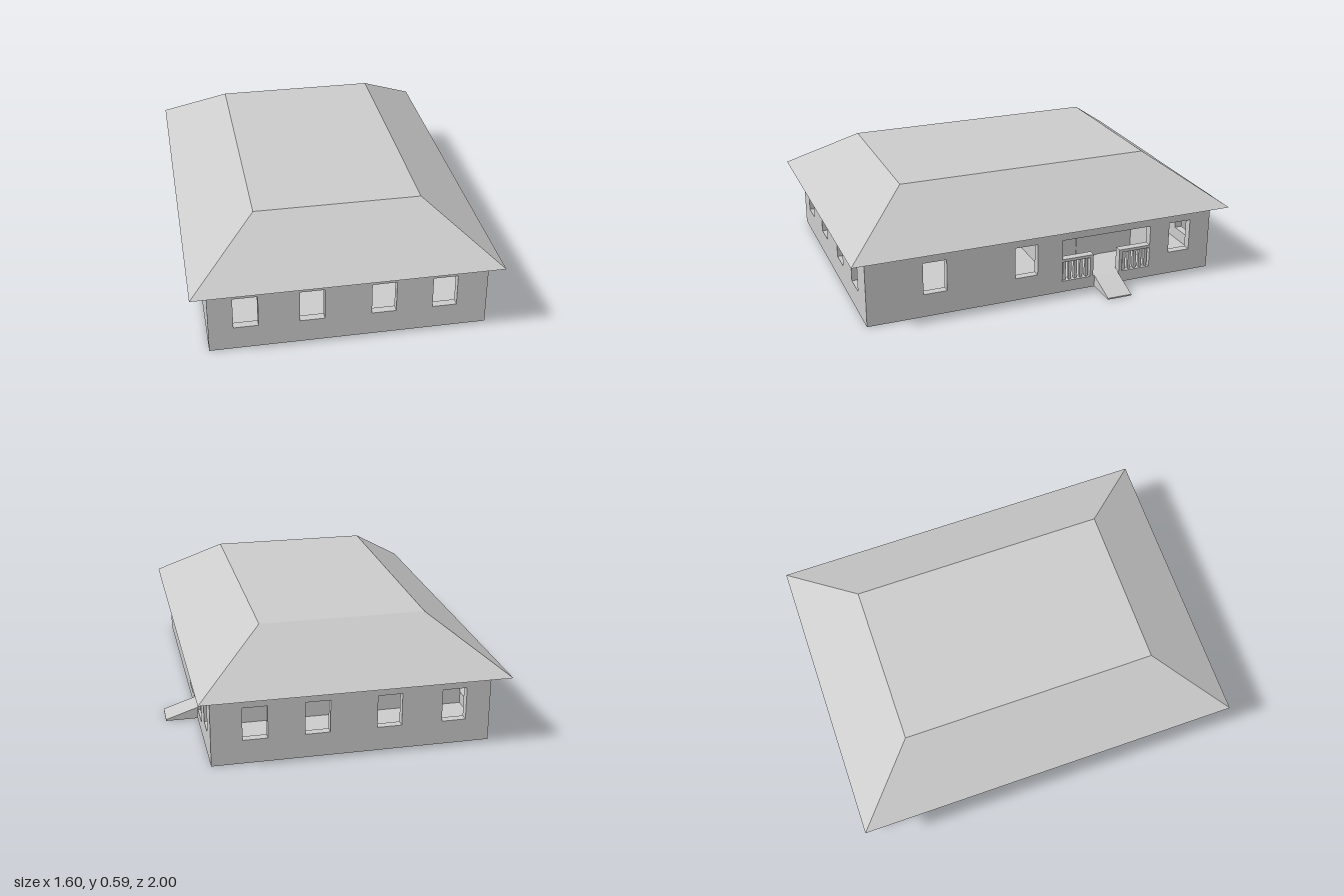
import * as THREE from 'three';

const material = new THREE.MeshStandardMaterial({ color: 0xcccccc, flatShading: true });
const X0 = -0.72, X1 = 0.64, Z = 0.925, EAVE = 0.35, FLOOR = 0.06, T = 0.04;

function addMesh(group, name, geometry) {
  const mesh = new THREE.Mesh(geometry, material);
  mesh.name = name;
  group.add(mesh);
  return mesh;
}

// box given by its limits on each axis
function addBox(group, name, x0, x1, y0, y1, z0, z1) {
  const mesh = addMesh(group, name, new THREE.BoxGeometry(x1 - x0, y1 - y0, z1 - z0));
  mesh.position.set((x0 + x1) / 2, (y0 + y1) / 2, (z0 + z1) / 2);
  return mesh;
}

const rect = (u0, u1, v0, v1) => [[u0, v0], [u1, v0], [u1, v1], [u0, v1]];
const windowAt = (u) => rect(u, u + 0.12, 0.12, 0.285);
const toPoints = (list) => list.map(([u, v]) => new THREE.Vector2(u, v));

// upright wall panel with openings, extruded to the wall thickness
function wallGeometry(u0, u1, openings) {
  const shape = new THREE.Shape(toPoints(rect(u0, u1, 0, EAVE)));
  openings.forEach((o) => shape.holes.push(new THREE.Path(toPoints(o))));
  return new THREE.ExtrudeGeometry(shape, { depth: T, bevelEnabled: false });
}

export function createModel() {
  const house = new THREE.Group();
  house.name = 'house';

  // front and back walls with four windows each
  const endWindows = [-0.6, -0.28, 0.07, 0.37].map(windowAt);
  const endWall = wallGeometry(X0 + T, X1 - T, endWindows);
  addMesh(house, 'frontWall', endWall).position.z = Z - T;
  addMesh(house, 'backWall', endWall).position.z = -Z;

  // side walls: drawn along -z, then turned
  const porchOpening = [
    [0.262, FLOOR], [0.408, FLOOR], [0.408, 0.18], [0.58, 0.18],
    [0.58, 0.285], [0.09, 0.285], [0.09, 0.18], [0.262, 0.18],
  ];
  const railPanels = [[0.09, 0.245], [0.425, 0.58]];
  const leftWall = addMesh(house, 'porchSideWall', wallGeometry(-Z, Z, [
    ...[-0.64, -0.165, 0.69].map(windowAt),
    porchOpening,
    ...railPanels.map(([a, b]) => rect(a, b, FLOOR, 0.165)),
  ]));
  leftWall.rotation.y = Math.PI / 2;
  leftWall.position.x = X1 - T;

  const rightWall = addMesh(house, 'plainSideWall',
    wallGeometry(-Z, Z, [-0.64, -0.16, 0.275, 0.57].map(windowAt)));
  rightWall.rotation.y = Math.PI / 2;
  rightWall.position.x = X0;

  // floor slab and inner partitions
  addBox(house, 'floor', X0 + T, X1 - T, 0, FLOOR, -Z + T, Z - T);
  const partition = (x0, x1, z0, z1) => addBox(house, 'partition', x0, x1, FLOOR, EAVE, z0, z1);
  partition(X0 + T, X1 - T, 0.32, 0.35);
  partition(X0 + T, X1 - T, -0.08, -0.05);
  partition(X0 + T, X1 - T, -0.62, -0.59);
  partition(-0.1, -0.07, -Z + T, -0.62);

  // porch recess: back wall with a door
  partition(0.38, 0.41, -0.59, -0.08);
  addBox(house, 'door', 0.4, 0.415, FLOOR, 0.285, -0.39, -0.27);

  // balustrade bars
  for (const [a, b] of railPanels) {
    for (let i = 0; i < 5; i++) {
      const z = -(a + ((b - a) * (i + 0.5)) / 5);
      addBox(house, 'balusterBar', 0.612, 0.628, FLOOR, 0.165, z - 0.008, z + 0.008);
    }
  }

  // entrance ramp
  const rampProfile = new THREE.Shape(toPoints([[X1, 0], [0.8, 0], [0.8, 0.007], [X1, FLOOR]]));
  addMesh(house, 'ramp', new THREE.ExtrudeGeometry(rampProfile, { depth: 0.13, bevelEnabled: false }))
    .position.z = -0.4;

  // hipped roof with flat top: box with its upper corners drawn in
  const roof = new THREE.BoxGeometry(1.5, 0.24, 2);
  const p = roof.attributes.position;
  for (let i = 0; i < p.count; i++) {
    if (p.getY(i) > 0) {
      p.setX(i, Math.sign(p.getX(i)) * 0.41);
      p.setZ(i, Math.sign(p.getZ(i)) * 0.66);
    }
  }
  roof.computeVertexNormals();
  addMesh(house, 'roof', roof).position.set(-0.05, EAVE + 0.12, 0);

  return house;
}
